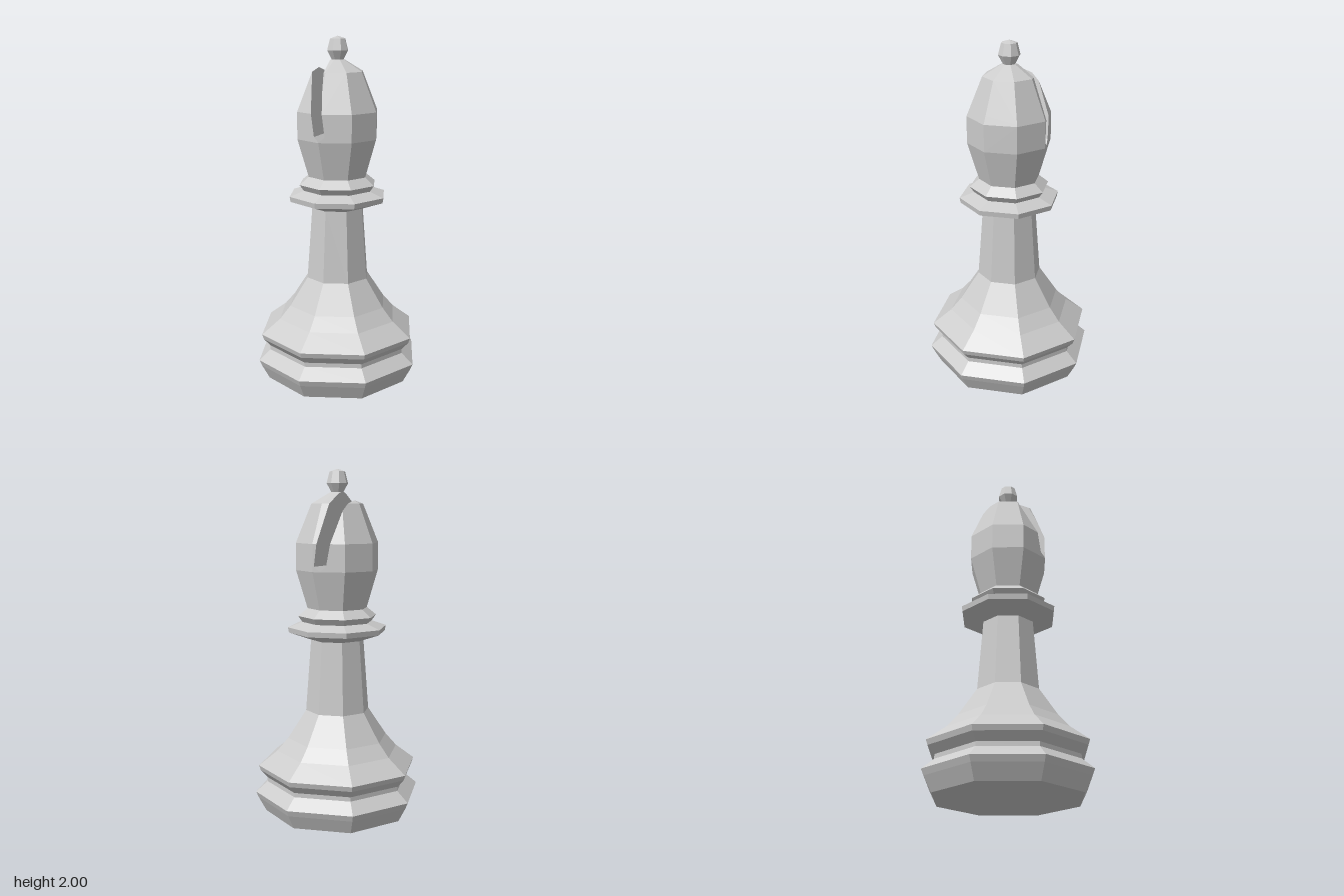
import * as THREE from 'three';

const SIDES = 8;
const material = new THREE.MeshStandardMaterial({ color: 0xcccccc, flatShading: true });

function lathe(name, profile) {
  const points = profile.map(([r, y]) => new THREE.Vector2(r, y));
  const mesh = new THREE.Mesh(new THREE.LatheGeometry(points, SIDES), material);
  mesh.name = name;
  return mesh;
}

const planeOf = (poly) => new THREE.Plane().setFromCoplanarPoints(poly[0], poly[1], poly[2]);

// Part of a convex polygon on one side of a plane (sign 1: front, -1: behind)
function clip(poly, plane, sign) {
  const out = [];
  poly.forEach((a, i) => {
    const b = poly[(i + 1) % poly.length];
    const da = sign * plane.distanceToPoint(a);
    const db = sign * plane.distanceToPoint(b);
    if (da >= 0) out.push(a);
    if (da * db < 0) out.push(a.clone().lerp(b, da / (da - db)));
  });
  return out.length > 2 ? out : [];
}

// Faces of a closed convex turned solid; the first one is the bottom cap
function turnedFaces(profile) {
  const rings = profile.map(([r, y]) => Array.from({ length: SIDES }, (_, i) => {
    const a = (i / SIDES) * Math.PI * 2;
    return new THREE.Vector3(r * Math.sin(a), y, r * Math.cos(a));
  }));
  const faces = [[...rings[0]].reverse(), rings[rings.length - 1]];
  for (let j = 0; j < rings.length - 1; j++) {
    for (let i = 0; i < SIDES; i++) {
      const k = (i + 1) % SIDES;
      faces.push([rings[j][i], rings[j][k], rings[j + 1][k], rings[j + 1][i]]);
    }
  }
  return faces;
}

// Head with a slanted slot cut right through it
function createHead() {
  const faces = turnedFaces([[0.175, 1.21], [0.24, 1.43], [0.24, 1.585], [0.15, 1.805], [0.04, 1.87]]);

  // Slot section from upper right round the pointed bottom; the slot runs along z, turned slightly
  const section = [[-0.15, 2], [-0.053, 1.46], [-0.02, 1.433], [0.013, 1.46], [-0.05, 2]];
  const run = new THREE.Vector3(0.085, 0, 1);
  const walls = section.slice(1).map(([qx, qy], i) => {
    const p = new THREE.Vector3(section[i][0], section[i][1], 0);
    const q = new THREE.Vector3(qx, qy, 0);
    return [p.clone().sub(run), p.clone().add(run), q.clone().add(run), q.clone().sub(run)];
  });

  const polygons = [];
  // Outer skin: keep everything outside the slot
  for (const face of faces.slice(1)) {
    let rest = face;
    for (const wall of walls) {
      const plane = planeOf(wall);
      polygons.push(clip(rest, plane, -1));
      rest = clip(rest, plane, 1);
    }
  }
  // Slot walls: keep what lies inside the head
  for (const wall of walls) {
    polygons.push(faces.reduce((poly, face) => clip(poly, planeOf(face), -1), wall));
  }

  const corners = [];
  for (const poly of polygons) {
    for (let i = 1; i < poly.length - 1; i++) corners.push(poly[0], poly[i], poly[i + 1]);
  }
  const geometry = new THREE.BufferGeometry().setFromPoints(corners);
  geometry.computeVertexNormals();
  const mesh = new THREE.Mesh(geometry, material);
  mesh.name = 'slottedHead';
  return mesh;
}

export function createModel() {
  const group = new THREE.Group();
  group.name = 'chessBishop';

  group.add(
    // Two-tiered foot
    lathe('base', [[0, 0], [0.43, 0], [0.475, 0.085], [0.49, 0.12], [0.42, 0.18],
      [0.42, 0.205], [0.46, 0.25], [0.47, 0.28]]),
    // Flared skirt rising into the tapered stem
    lathe('stem', [[0.47, 0.28], [0.36, 0.365], [0.295, 0.44], [0.187, 0.605], [0.155, 1.03]]),
    // Wide collar with a smaller ring above
    lathe('collar', [[0.155, 1.025], [0.285, 1.07], [0.29, 1.1], [0.205, 1.13],
      [0.23, 1.165], [0.175, 1.21]]),
    createHead(),
    // Small faceted knob
    lathe('finial', [[0, 1.865], [0.035, 1.87], [0.062, 1.92], [0.045, 1.985], [0, 2]]),
  );
  return group;
}
